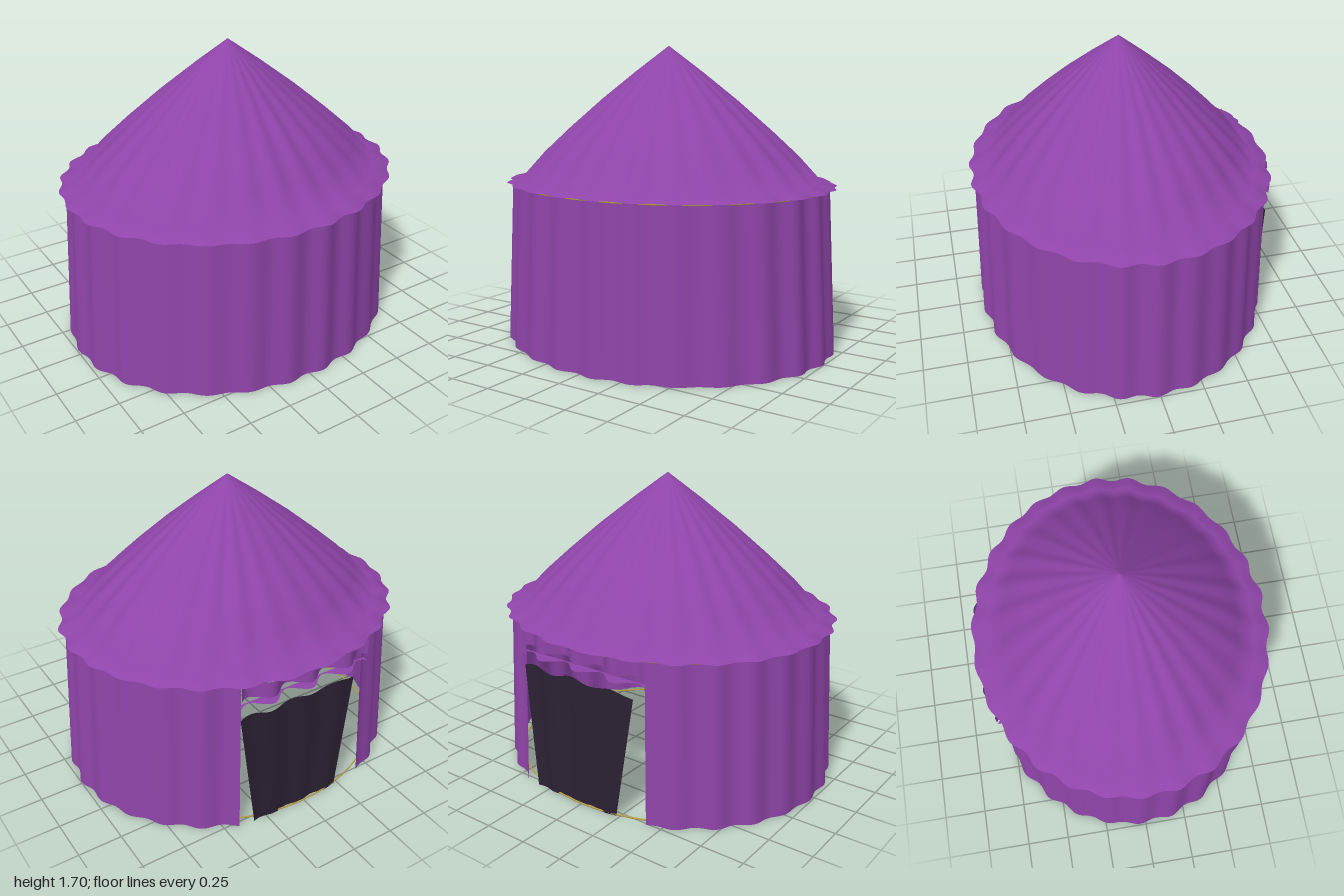
import * as THREE from 'three';
import { ParametricGeometry } from 'three/addons/geometries/ParametricGeometry.js';

const cloth = new THREE.MeshStandardMaterial({ color: 0x8e44a8, side: THREE.DoubleSide });
const dark = new THREE.MeshStandardMaterial({ color: 0x2a2032, side: THREE.DoubleSide });
const cord = new THREE.MeshStandardMaterial({ color: 0xb8a040 });

const PLEATS = 26;
const DOOR = 0.435; // half angle of the doorway, centred on the back
const lerp = THREE.MathUtils.lerp;

// uneven pleat wave around the tent, phi = 0 at the front
const pleat = (phi) =>
  Math.cos(PLEATS * phi + 1.25 * Math.PI + 0.5 * Math.sin(3 * phi)) * (0.8 + 0.2 * Math.sin(5 * phi + 1));

// point on an oval of half-width a and half-depth b, pushed out by the pleats
function oval(target, phi, a, b, y, amp) {
  const w = amp * pleat(phi);
  return target.set((a + w) * Math.sin(phi), y, (b + w) * Math.cos(phi));
}

function createSheet(name, material, fn, nu, nv) {
  const mesh = new THREE.Mesh(new ParametricGeometry(fn, nu, nv), material);
  mesh.name = name;
  return mesh;
}

// thin oval hoop lying flat
function createHoop(name, a, b, y) {
  const mesh = new THREE.Mesh(new THREE.TorusGeometry(1, 0.005, 6, 96), cord);
  mesh.name = name;
  mesh.rotation.x = Math.PI / 2;
  mesh.scale.set(a, b, 1);
  mesh.position.y = y;
  return mesh;
}

export function createModel() {
  const tent = new THREE.Group();
  tent.name = 'tent';

  // pleated wall, flaring towards the ground and open at the back
  tent.add(createSheet('wall', cloth, (u, v, p) => {
    const phi = lerp(-Math.PI + DOOR, Math.PI - DOOR, u);
    oval(p, phi, lerp(0.985, 0.937, v), lerp(0.848, 0.817, v), 0.925 * v, 0.014);
  }, 260, 4));

  // conical roof: [half-width, half-depth, height, pleat depth] from eave to peak
  const rings = [
    [0.978, 0.845, 0.92, 0.014],
    [0.945, 0.81, 0.937, 0.012],
    [0.89, 0.765, 0.948, 0.009],
    [0.76, 0.653, 1.085, 0.009],
    [0.6, 0.517, 1.228, 0.008],
    [0.4, 0.345, 1.397, 0.006],
    [0.2, 0.172, 1.553, 0.003],
    [0.001, 0.001, 1.7, 0],
  ];
  const n = rings.length - 1;
  tent.add(createSheet('roof', cloth, (u, v, p) => {
    const i = Math.min(Math.floor(v * n + 1e-6), n - 1);
    const [a, b, y, amp] = rings[i].map((q, k) => lerp(q, rings[i + 1][k], v * n - i));
    oval(p, u * 2 * Math.PI, a, b, y, amp);
  }, 312, n));

  // hoops that hold the cloth
  tent.add(createHoop('upperHoop', 0.938, 0.819, 0.915));
  tent.add(createHoop('groundHoop', 0.94, 0.805, 0.006));

  // gathered valance above the doorway and the fold beneath it
  const gather = (x) => -0.785 - 0.035 * Math.cos(x * 26);
  tent.add(createSheet('valance', cloth, (u, v, p) => {
    const x = lerp(0.41, -0.41, u);
    p.set(x, lerp(0.83, 0.925, v), gather(x));
  }, 80, 1));
  tent.add(createSheet('valanceFold', cloth, (u, v, p) => {
    const x = lerp(0.41, -0.41, u);
    p.set(x, 0.79, lerp(gather(x), -0.74, v));
  }, 80, 1));

  // dark door curtain, narrower at the ground
  tent.add(createSheet('doorCurtain', dark, (u, v, p) => {
    const x = lerp(lerp(0.33, -0.23, u), lerp(0.41, -0.335, u), v);
    const top = 0.71 + 0.012 * Math.sin(u * 17);
    p.set(x, top * v, lerp(-0.79, -0.765, v) + 0.007 * Math.sin(u * 20));
  }, 40, 4));

  return tent;
}
